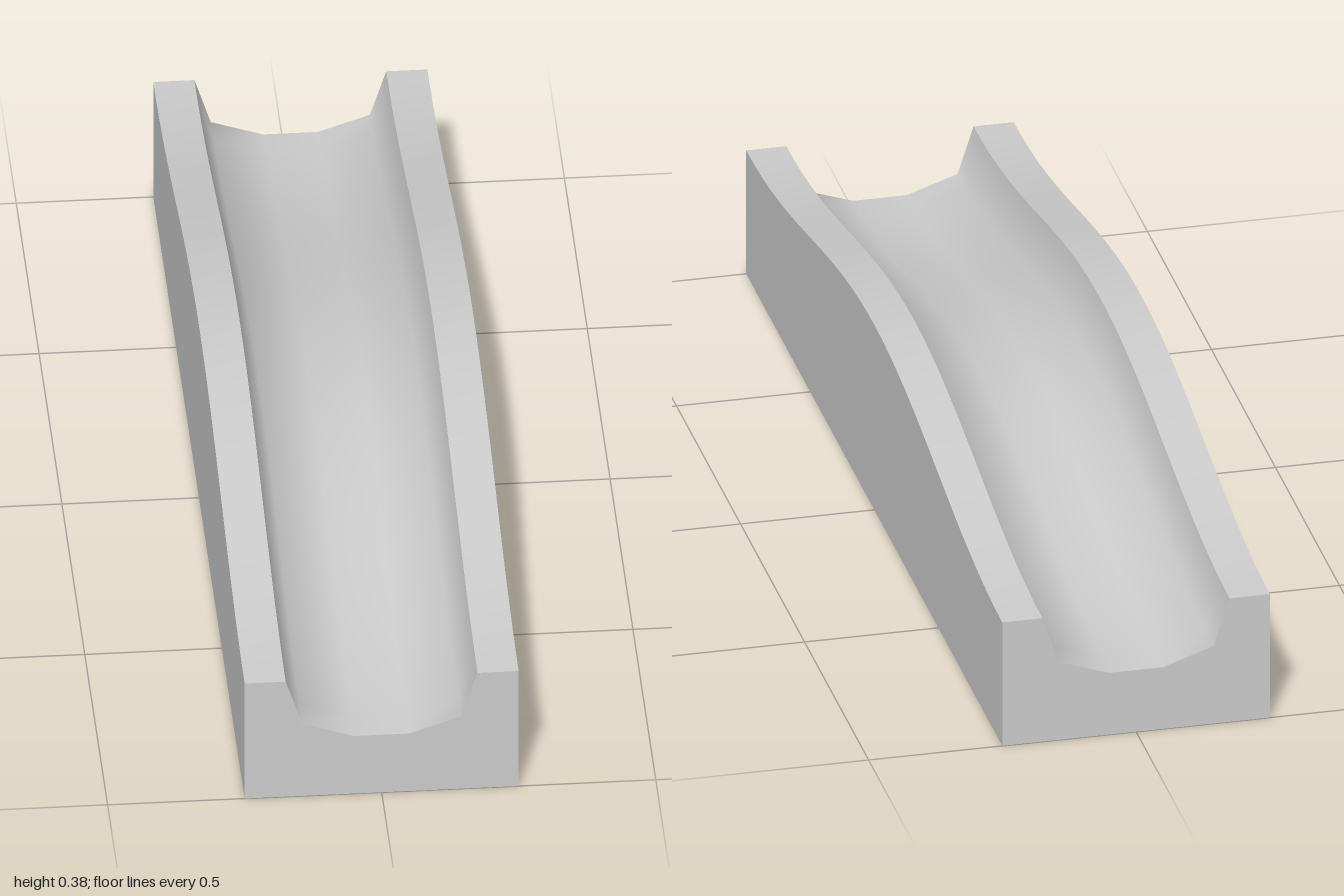
import * as THREE from 'three';

const SEGMENTS = 32;
const END_Z = 1;
const material = new THREE.MeshStandardMaterial({ color: 0xcccccc });

// Smooth hump along the length: 0 at both ends, 0.125 in the middle
const lift = z => 0.0625 * (1 + Math.cos(Math.PI * z));

// Sweeps a cross-section strip along z; points with y = 0 stay on the ground
function sweep(name, profile) {
  const positions = [], index = [], n = profile.length;
  for (let j = 0; j <= SEGMENTS; j++) {
    const z = -END_Z + (2 * END_Z * j) / SEGMENTS;
    for (const [x, y] of profile) positions.push(x, y > 0 ? y + lift(z) : 0, z);
  }
  for (let j = 0; j < SEGMENTS; j++) {
    for (let i = 0; i < n - 1; i++) {
      const a = j * n + i, b = a + n;
      index.push(a, b, a + 1, a + 1, b, b + 1);
    }
  }
  const geometry = new THREE.BufferGeometry();
  geometry.setAttribute('position', new THREE.Float32BufferAttribute(positions, 3));
  geometry.setIndex(index);
  geometry.computeVertexNormals();
  const mesh = new THREE.Mesh(geometry, material);
  mesh.name = name;
  return mesh;
}

export function createModel() {
  const group = new THREE.Group();
  group.name = 'humpedChannelTrack';

  const channel = [
    [-0.175, 0.25], [-0.145, 0.157], [-0.05, 0.125],
    [0.05, 0.125], [0.145, 0.157], [0.175, 0.25],
  ];

  // Separate strips keep the rim and block edges sharp
  group.add(
    sweep('channel', channel),
    sweep('rightRim', [[-0.25, 0.25], [-0.175, 0.25]]),
    sweep('leftRim', [[0.175, 0.25], [0.25, 0.25]]),
    sweep('leftSide', [[0.25, 0.25], [0.25, 0]]),
    sweep('rightSide', [[-0.25, 0], [-0.25, 0.25]]),
    sweep('bottom', [[0.25, 0], [-0.25, 0]]),
  );

  // Flat end caps
  const outline = [[-0.25, 0], [0.25, 0], [0.25, 0.25], ...channel.slice().reverse(), [-0.25, 0.25]];
  const capGeometry = new THREE.ShapeGeometry(
    new THREE.Shape(outline.map(([x, y]) => new THREE.Vector2(x, y))));
  for (const [name, side] of [['frontEnd', 1], ['backEnd', -1]]) {
    const cap = new THREE.Mesh(capGeometry, material);
    cap.name = name;
    cap.position.z = side * END_Z;
    cap.rotation.y = side > 0 ? 0 : Math.PI;
    group.add(cap);
  }
  return group;
}
